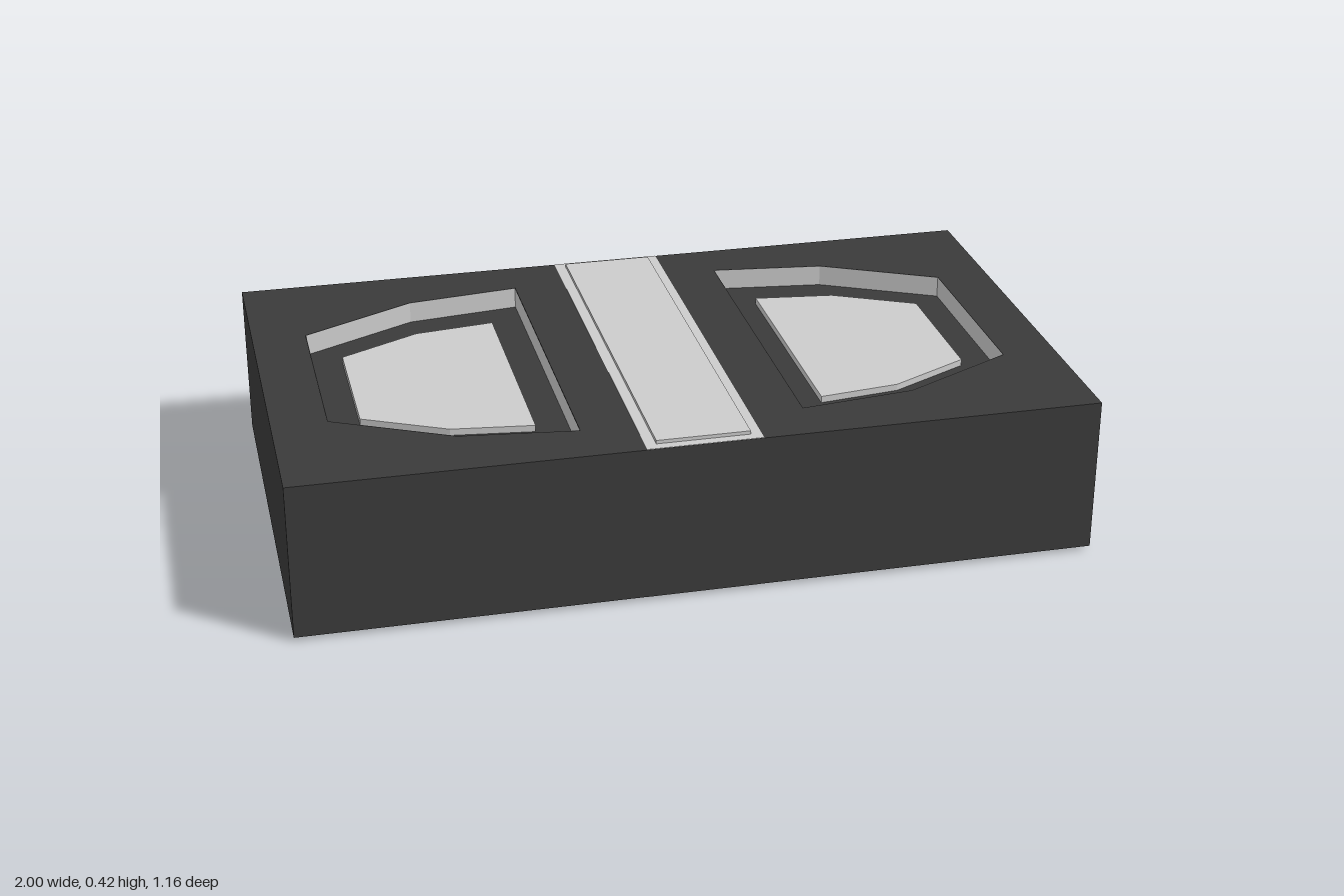
import * as THREE from 'three';

const dark = new THREE.MeshStandardMaterial({ color: 0x3a3a3a });
const grey = new THREE.MeshStandardMaterial({ color: 0xcccccc });
const greyOpen = new THREE.MeshStandardMaterial({ color: 0xcccccc, side: THREE.DoubleSide });

const BOTTOM = 0.01, TOP = 0.41, DEPTH = 0.055;

// Half outlines (x, z); mirrored front to back
const RECESS = [[0.277, 0.443], [0.57, 0.407], [0.862, 0.258]];
const PAD = [[0.363, 0.316], [0.57, 0.29], [0.777, 0.185]];

function outline(half, side) {
  const back = half.map(([x, z]) => [x, -z]).reverse();
  return [...half, ...back].map(([x, z]) => new THREE.Vector2(x * side, z));
}

// Horizontal slab with the given plan between two heights
function slab(shape, y0, y1) {
  const geo = new THREE.ExtrudeGeometry(shape, { depth: y1 - y0, bevelEnabled: false });
  return geo.rotateX(Math.PI / 2).translate(0, y1, 0);
}

// Open vertical band following a closed outline
function band(points, y0, y1) {
  const pos = [];
  points.forEach((a, i) => {
    const b = points[(i + 1) % points.length];
    pos.push(a.x, y0, a.y, b.x, y0, b.y, b.x, y1, b.y);
    pos.push(a.x, y0, a.y, b.x, y1, b.y, a.x, y1, a.y);
  });
  const geo = new THREE.BufferGeometry();
  geo.setAttribute('position', new THREE.Float32BufferAttribute(pos, 3));
  geo.computeVertexNormals();
  return geo;
}

export function createModel() {
  const group = new THREE.Group();
  const add = (name, geo, mat) => {
    const mesh = new THREE.Mesh(geo, mat);
    mesh.name = name;
    group.add(mesh);
  };
  const box = (w, y0, y1, d) =>
    new THREE.BoxGeometry(w, y1 - y0, d).translate(0, (y0 + y1) / 2, 0);

  // Solid middle, whose faces form the recess floors
  add('bodyCore', box(2, BOTTOM + DEPTH, TOP - DEPTH, 1.16), dark);

  // Top and bottom plates pierced by the two recesses
  const plate = new THREE.Shape([[-1, -0.58], [1, -0.58], [1, 0.58], [-1, 0.58]]
    .map(([x, z]) => new THREE.Vector2(x, z)));
  for (const s of [1, -1]) plate.holes.push(new THREE.Path(outline(RECESS, s)));
  add('topPlate', slab(plate, TOP - DEPTH, TOP), dark);
  add('bottomPlate', slab(plate, BOTTOM, BOTTOM + DEPTH), dark);

  for (const [s, side] of [[1, 'left'], [-1, 'right']]) {
    // Light recess walls, a hair inside the cut
    const lining = outline(RECESS.map(([x, z], i) =>
      [x + (i === 0 ? 0.001 : -0.001), z - 0.001]), s);
    add(side + 'TopRecessWall', band(lining, TOP - DEPTH, TOP), greyOpen);
    add(side + 'BottomRecessWall', band(lining, BOTTOM, BOTTOM + DEPTH), greyOpen);
    // Raised pad on the upper recess floor
    add(side + 'Pad', slab(new THREE.Shape(outline(PAD, s)), TOP - DEPTH, 0.372), grey);
  }

  // Centre strip, nearly flush, with a raised panel on top and underneath
  add('topStrip', box(0.286, TOP - 0.01, TOP + 0.001, 1.158), grey);
  add('topStripPanel', box(0.232, TOP - 0.01, 0.42, 1.11), grey);
  add('bottomStrip', box(0.286, BOTTOM - 0.001, BOTTOM + 0.01, 1.158), grey);
  add('bottomStripPanel', box(0.232, 0, BOTTOM + 0.01, 1.11), grey);

  return group;
}
